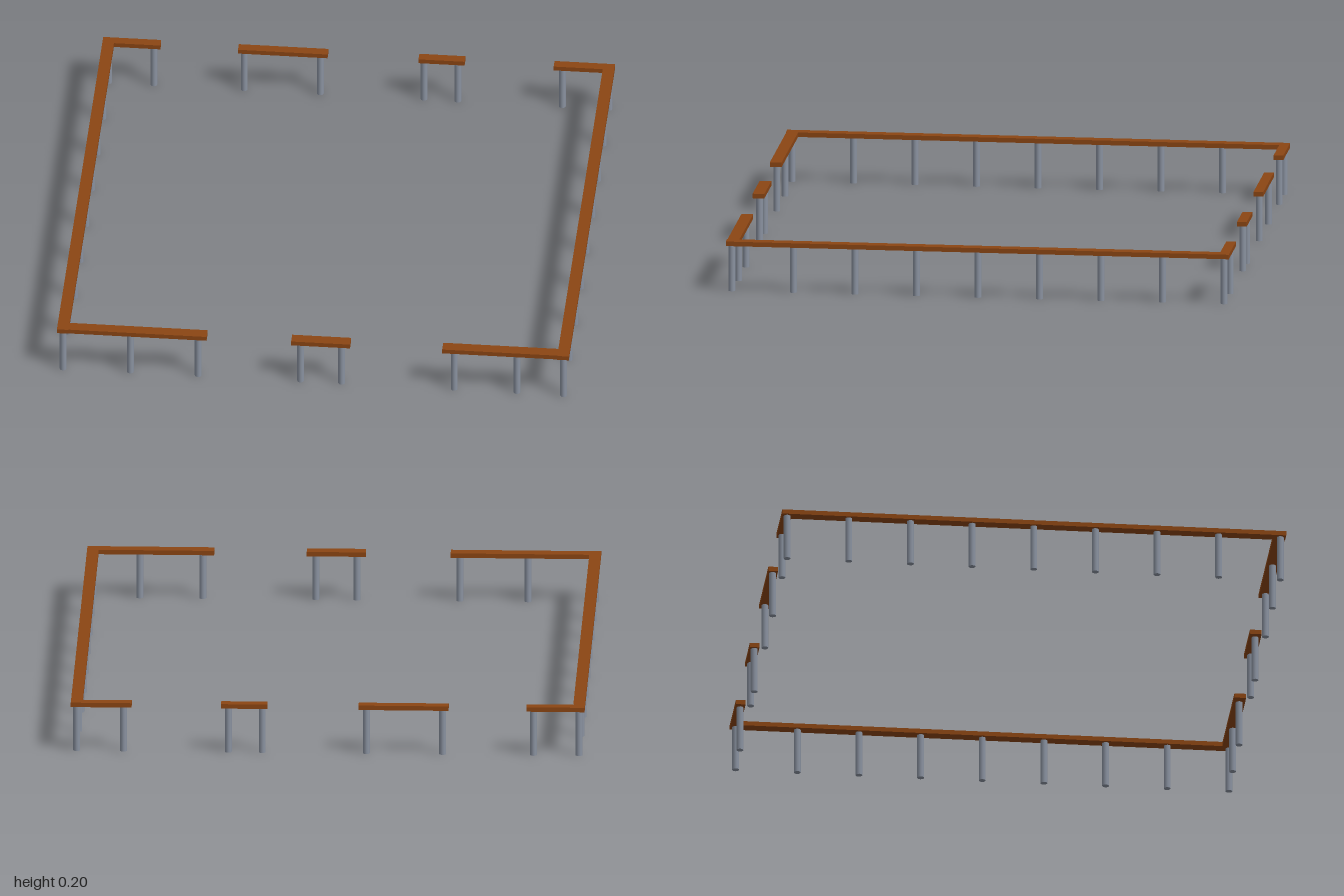
import * as THREE from 'three';

const RAIL_TOP = 0.2, RAIL_H = 0.018, POST_H = RAIL_TOP - RAIL_H, POST_R = 0.0135;
const SIDE_X = 0.977, SIDE_W = 0.045, END_Z = 0.985;

export function createModel() {
  const group = new THREE.Group();
  const wood = new THREE.MeshStandardMaterial({ color: 0x8b4513 });
  const metal = new THREE.MeshStandardMaterial({ color: 0x8a92a0 });
  const postGeometry = new THREE.CylinderGeometry(POST_R, POST_R, POST_H, 12);

  function addRail(name, x0, x1, z0, z1) {
    const rail = new THREE.Mesh(new THREE.BoxGeometry(x1 - x0, RAIL_H, z1 - z0), wood);
    rail.position.set((x0 + x1) / 2, RAIL_TOP - RAIL_H / 2, (z0 + z1) / 2);
    rail.name = name;
    group.add(rail);
  }

  function addPost(name, x, z) {
    const post = new THREE.Mesh(postGeometry, metal);
    post.position.set(x, POST_H / 2, z);
    post.name = name;
    group.add(post);
  }

  // Long side rails, each on nine evenly spaced posts
  for (const [side, s] of [['left', 1], ['right', -1]]) {
    const x = s * SIDE_X;
    addRail(side + 'Rail', x - SIDE_W / 2, x + SIDE_W / 2, -END_Z, END_Z);
    for (let i = -4; i <= 4; i++) addPost(side + 'Post', x, i * 0.241);
  }

  // Front rail sections with gaps: [start, end, post positions]
  const inner = SIDE_X - SIDE_W / 2;
  const front = [
    [-inner, -0.415, [-0.715, -0.45]],
    [-0.085, 0.145, [-0.05, 0.11]],
    [0.505, inner, [0.55, 0.795]],
  ];
  for (const [x0, x1, posts] of front) {
    addRail('frontRail', x0, x1, 0.937, END_Z - 0.002);
    for (const x of posts) addPost('frontPost', x, 0.96);
  }

  // Back rail sections with gaps
  const back = [
    [-inner, -0.773, [-0.8]],
    [-0.47, -0.12, [-0.447, -0.15]],
    [0.235, 0.415, [0.255, 0.387]],
    [0.763, inner, [0.795]],
  ];
  for (const [x0, x1, posts] of back) {
    addRail('backRail', x0, x1, -END_Z, -0.947);
    for (const x of posts) addPost('backPost', x, -0.966);
  }

  return group;
}
